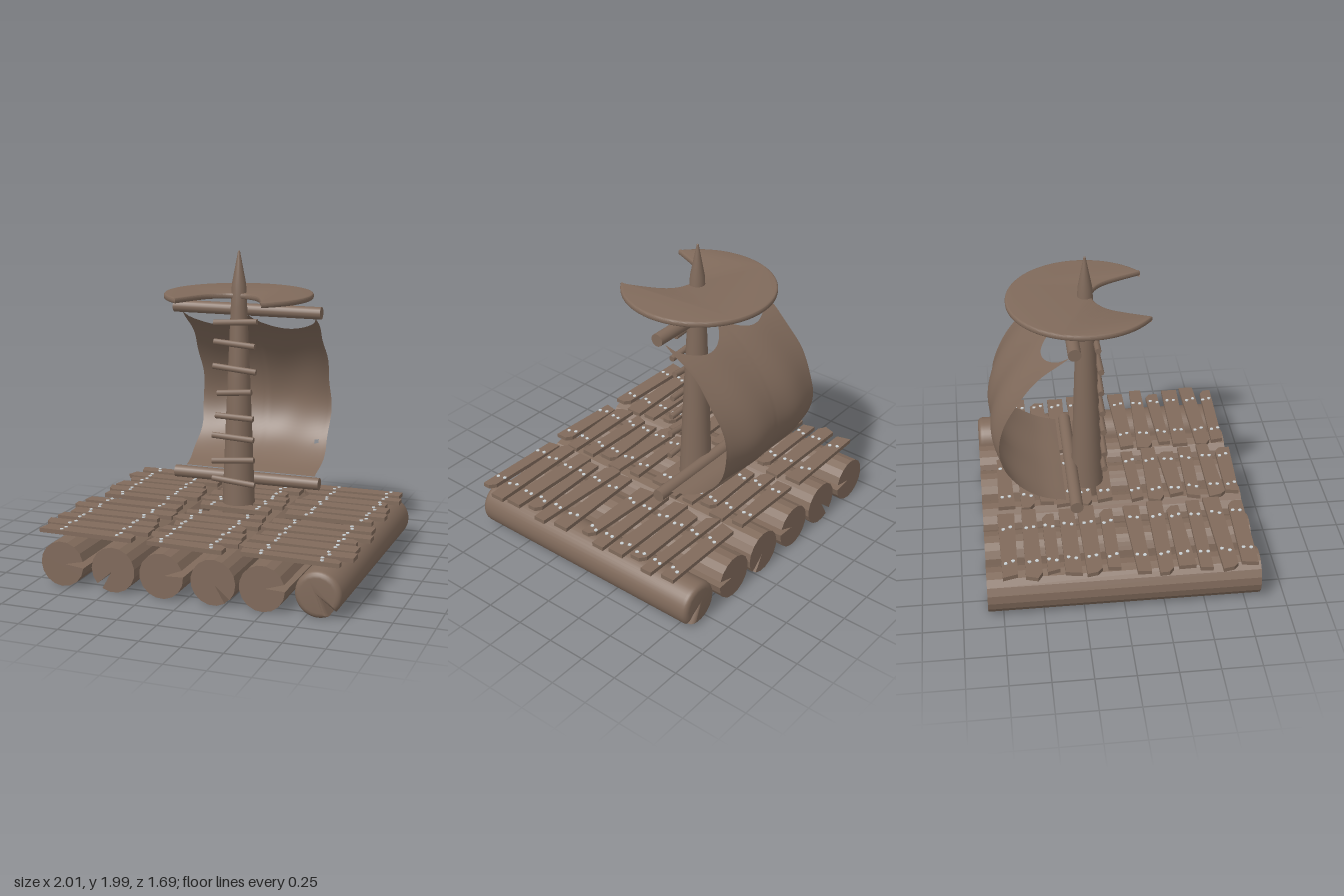
import * as THREE from 'three';
import { toCreasedNormals } from 'three/addons/utils/BufferGeometryUtils.js';

const wood = new THREE.MeshStandardMaterial({ color: 0x806a5b });
wood.name = 'wood brown';
const cloth = new THREE.MeshStandardMaterial({ color: 0x806a5b, side: THREE.DoubleSide });
cloth.name = 'sail brown';
const metal = new THREE.MeshStandardMaterial({ color: 0xc9cfd2 });
metal.name = 'nail grey';

function add(parent, name, geometry, material = wood) {
  const mesh = new THREE.Mesh(geometry, material);
  mesh.name = name;
  parent.add(mesh);
  return mesh;
}

// Round bar between two points
function addBar(parent, name, a, b, radius, sides) {
  const from = new THREE.Vector3(...a), dir = new THREE.Vector3(...b).sub(from);
  const bar = add(parent, name, new THREE.CylinderGeometry(radius, radius, dir.length(), sides));
  bar.position.copy(from).addScaledVector(dir, 0.5);
  bar.quaternion.setFromUnitVectors(new THREE.Vector3(0, 1, 0), dir.normalize());
  return bar;
}

// Log with a wedge split running along its whole length
function logGeometry(notchAngle, halfWedge, sides, bevel) {
  const r = 0.142, shape = new THREE.Shape();
  shape.moveTo(Math.cos(notchAngle) * 0.02, Math.sin(notchAngle) * 0.02);
  for (let i = 0; i <= sides; i++) {
    const a = notchAngle + halfWedge + (i / sides) * (Math.PI * 2 - 2 * halfWedge);
    shape.lineTo(Math.cos(a) * r, Math.sin(a) * r);
  }
  shape.closePath();
  const g = new THREE.ExtrudeGeometry(shape, {
    depth: 1.69 - 2 * bevel, bevelEnabled: bevel > 0, bevelThickness: bevel,
    bevelSize: bevel, bevelOffset: -bevel, bevelSegments: 4,
  });
  g.translate(0, 0, -0.845 + bevel);
  return bevel ? toCreasedNormals(g, 0.7) : g;
}

// Uneven board with a chipped corner, seen from above as x and z
function plankGeometry(x0, x1, z, k) {
  const a = 0.046 + 0.008 * Math.sin(k * 2.3), b = 0.046 + 0.008 * Math.cos(k * 1.7);
  const tilt = 0.008 * Math.sin(k * 3.1), slant = 0.012 * Math.cos(k * 2.9);
  const shape = new THREE.Shape();
  shape.moveTo(x0 - slant, z - a - tilt);
  if (k % 3 === 2) {
    shape.lineTo(x1 - 0.04, z - b + tilt);
    shape.lineTo(x1, z - b + tilt + 0.03);
  } else shape.lineTo(x1, z - b + tilt);
  shape.lineTo(x1, z + b + tilt);
  if (k % 3 === 1) {
    shape.lineTo(x0 + 0.04, z + a - tilt);
    shape.lineTo(x0 + slant, z + a - tilt - 0.03);
  } else shape.lineTo(x0 + slant, z + a - tilt);
  shape.closePath();
  const g = new THREE.ExtrudeGeometry(shape, { depth: 0.027, bevelEnabled: false });
  g.rotateX(Math.PI / 2);
  return g.translate(0, 0.355, 0);
}

// Billowing sail sheet with a scalloped top edge and one small hole
function sailGeometry() {
  const profile = new THREE.CatmullRomCurve3([
    [1.57, -0.28], [1.45, -0.45], [1.26, -0.615], [1.1, -0.7], [0.95, -0.73],
    [0.8, -0.7], [0.68, -0.62], [0.57, -0.46], [0.525, -0.32],
  ].map(([y, z]) => new THREE.Vector3(0, y, z)));
  const nx = 32, ny = 44, pos = [], index = [];
  for (let j = 0; j <= ny; j++) {
    for (let i = 0; i <= nx; i++) {
      const u = (i / nx) * 2 - 1;
      const top = 0.125 * Math.pow(Math.abs(Math.sin(Math.PI * u)), 0.6);
      const v = top + (1 - top) * (j / ny);
      const p = profile.getPointAt(v), swell = Math.sin(Math.PI * v);
      const x = u * (0.455 + 0.006 * Math.sin(v * 24)) - 0.022 * swell;
      pos.push(x, p.y, p.z - 0.035 * (1 - u * u) * swell + 0.008 * Math.sin(u * 7 + v * 4) * swell);
    }
  }
  const row = nx + 1;
  let hole = 0, best = 9;
  for (let k = 0; k < pos.length; k += 3) {
    const d = Math.hypot(pos[k] - 0.345, pos[k + 1] - 0.69);
    if (d < best) { best = d; hole = k / 3; }
  }
  for (let j = 0; j < ny; j++) {
    for (let i = 0; i < nx; i++) {
      const a = j * row + i;
      if (a !== hole) index.push(a, a + row, a + 1, a + 1, a + row, a + row + 1);
    }
  }
  const g = new THREE.BufferGeometry();
  g.setAttribute('position', new THREE.Float32BufferAttribute(pos, 3));
  g.setIndex(index);
  g.computeVertexNormals();
  return g;
}

export function createModel() {
  const raft = new THREE.Group();
  raft.name = 'raft';

  // Floating logs: x, split direction in degrees
  const logs = new THREE.Group();
  logs.name = 'logs';
  raft.add(logs);
  [[-0.8, 3], [-0.46, 231], [-0.145, 12], [0.185, -50], [0.49, 8], [0.825, -52]].forEach(([x, deg], i) => {
    const round = i === 5;
    const g = logGeometry(deg * Math.PI / 180, round ? 0.2 : 0.15, round ? 36 : 16, round ? 0.035 : 0);
    add(logs, 'log', g).position.set(x, 0.153, 0);
  });

  // Deck sections: left and right end, nail columns, board positions along z
  const deck = new THREE.Group();
  deck.name = 'deck';
  raft.add(deck);
  const inset = [0.03, 0, 0.06, 0.02, 0, 0.05];
  const sections = [
    [-0.96, -0.3, [-0.81, -0.48], [-0.7, -0.555, -0.435, -0.315, -0.19, -0.065]],
    [-0.28, 0.29, [-0.15, 0.16], [-0.69, -0.55, -0.43, -0.31, -0.18, -0.05]],
    [0.31, 0.97, [0.5, 0.86], [-0.68, -0.55, -0.42, -0.295, -0.16, -0.04]],
    [-1, -0.3, [-0.83, -0.46], [0.105, 0.25, 0.37, 0.495, 0.63, 0.765]],
    [-0.28, 0.29, [-0.17, 0.15], [0.15, 0.285, 0.41, 0.53, 0.67, 0.785]],
    [0.3, 1, [0.47, 0.84], [0.15, 0.285, 0.41, 0.53, 0.67, 0.785]],
  ];
  const nail = new THREE.CylinderGeometry(0.012, 0.012, 0.008, 7);
  sections.forEach(([x0, x1, nailX, rows], s) => rows.forEach((z, i) => {
    const k = s * 6 + i;
    add(deck, 'plank', plankGeometry(x0 + inset[i] * 0.8, x1 - inset[i], z, k));
    for (const x of nailX) for (const side of [-1, 1]) {
      add(deck, 'nail', nail, metal)
        .position.set(x + 0.012 * Math.sin(k * 5 + side), 0.356, z + side * 0.023);
    }
  }));

  // Tapered mast with a pointed tip
  const mastProfile = [[0, 0.275], [0.108, 0.275], [0.1, 0.5], [0.072, 1.2], [0.052, 1.65],
    [0.045, 1.79], [0.006, 1.995], [0, 2]].map(p => new THREE.Vector2(...p));
  const mast = add(raft, 'mast', toCreasedNormals(new THREE.LatheGeometry(mastProfile, 20), 0.6));
  mast.position.set(-0.015, 0, -0.15);

  // Crooked ladder rungs on the mast: left x, left y, right x, right y, z
  [[-0.16, 1.54, 0.13, 1.56, -0.085], [-0.16, 1.42, 0.115, 1.4, -0.085], [-0.16, 1.265, 0.13, 1.24, -0.068],
    [-0.13, 1.09, 0.1, 1.11, -0.065], [-0.14, 0.945, 0.115, 0.937, -0.058], [-0.16, 0.815, 0.12, 0.8, -0.053],
    [-0.16, 0.645, 0.125, 0.67, -0.048], [-0.16, 0.53, 0.13, 0.505, -0.048],
  ].forEach(([xa, ya, xb, yb, z]) => addBar(raft, 'rung', [xa, ya, z], [xb, yb, z], 0.02, 8));

  // Upper and lower yards holding the sail
  for (const y of [1.61, 0.495]) addBar(raft, 'yard', [-0.5, y, -0.257], [0.5, y, -0.257], 0.04, 20);
  add(raft, 'sail', sailGeometry(), cloth);

  // Crescent lookout platform, open towards the front
  const crescent = new THREE.Shape();
  crescent.absarc(-0.02, -0.16, 0.475, 0.93, 2.2, true);
  crescent.splineThru([[-0.2, 0.0], [-0.11, -0.085], [-0.015, -0.11], [0.09, -0.08],
    [0.17, 0.01], [0.264, 0.221]].map(p => new THREE.Vector2(...p)));
  const platform = new THREE.ExtrudeGeometry(crescent, {
    depth: 0.012, bevelThickness: 0.012, bevelSize: 0.012, bevelOffset: -0.012,
    bevelSegments: 3, curveSegments: 48,
  });
  platform.rotateX(Math.PI / 2).translate(0, 1.72, 0);
  add(raft, 'lookoutPlatform', toCreasedNormals(platform, 0.7));

  return raft;
}
